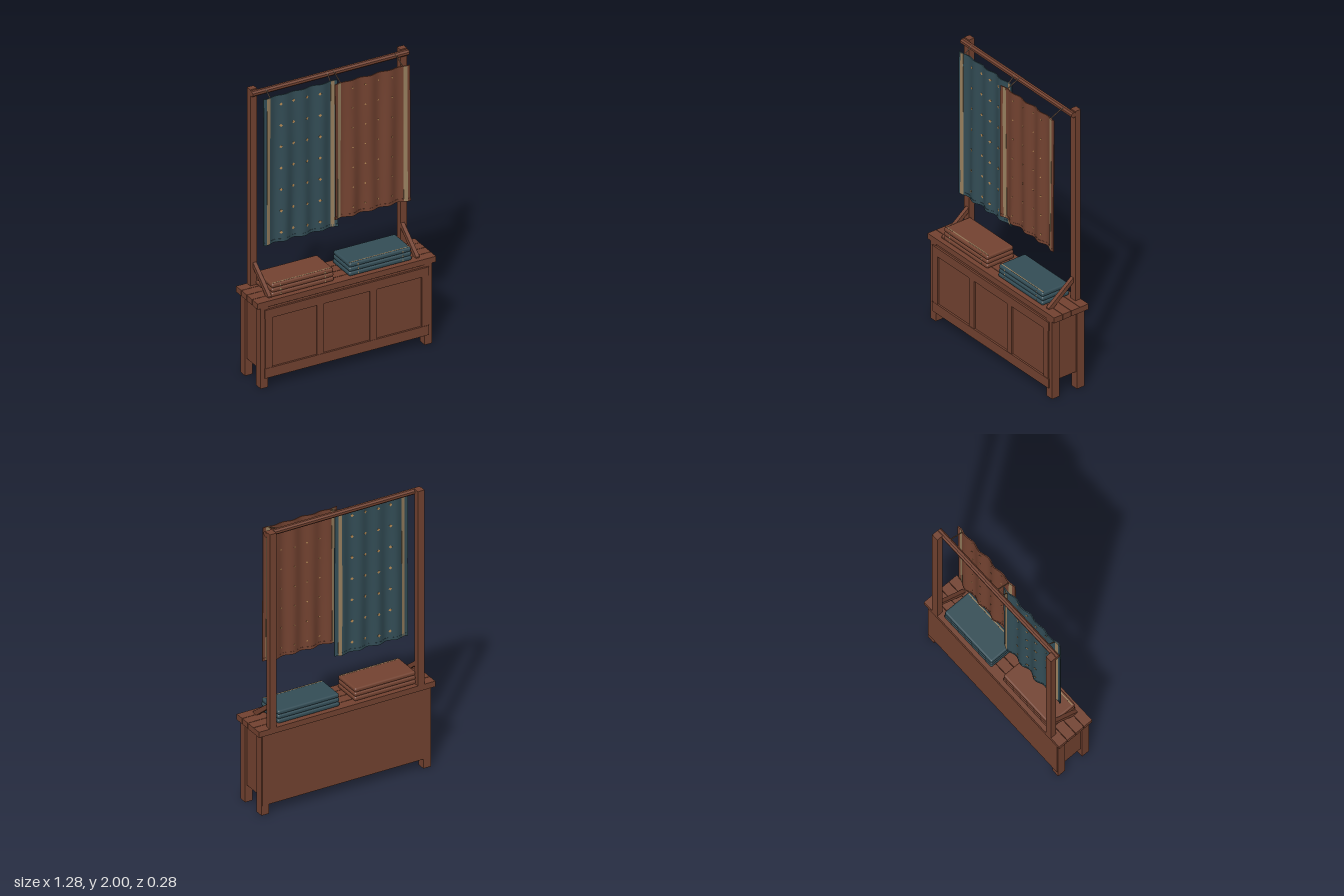
import * as THREE from 'three';
import { RoundedBoxGeometry } from 'three/addons/geometries/RoundedBoxGeometry.js';

const material = (name, color) => {
  const m = new THREE.MeshStandardMaterial({ color });
  m.name = name;
  return m;
};

export function createModel() {
  const wood = material('brown wood', 0x734230);
  const red = material('russet cloth', 0x744331);
  const blue = material('teal cloth', 0x334d56);
  const tan = material('tan trim', 0x98805f);
  const gold = material('gold motif', 0xb58a55);
  const cord = material('cord', 0x7d5a40);

  const model = new THREE.Group();
  model.name = 'textileStall';
  const group = (name) => {
    const g = new THREE.Group();
    g.name = name;
    model.add(g);
    return g;
  };
  const add = (parent, name, geometry, mat) => {
    const mesh = new THREE.Mesh(geometry, mat);
    mesh.name = name;
    parent.add(mesh);
    return mesh;
  };
  // Box given by its limits on each axis
  const box = (parent, name, x0, x1, y0, y1, z0, z1, mat = wood) => {
    const mesh = add(parent, name, new THREE.BoxGeometry(x1 - x0, y1 - y0, z1 - z0), mat);
    mesh.position.set((x0 + x1) / 2, (y0 + y1) / 2, (z0 + z1) / 2);
    return mesh;
  };

  // Counter: planked top, legs, panels
  const counter = group('counter');
  for (let i = 0; i < 4; i++) {
    const z = -0.138 + i * 0.069;
    box(counter, 'topPlank', -0.64, 0.64, 0.57, 0.61, z, z + 0.0655);
  }
  for (const s of [-1, 1]) {
    for (const [z0, z1] of [[-0.125, -0.067], [0.074, 0.131]]) {
      const x = s * 0.588;
      box(counter, 'leg', x - 0.027, x + 0.027, 0, 0.57, z0, z1);
    }
    const x = s * 0.592;
    box(counter, 'sidePanel', x - 0.01, x + 0.01, 0.12, 0.545, -0.07, 0.08);
  }
  box(counter, 'backPanel', -0.61, 0.61, 0.07, 0.57, -0.13, -0.118);
  box(counter, 'floorBoard', -0.565, 0.565, 0.105, 0.12, -0.118, 0.115);
  box(counter, 'frontPanel', -0.565, 0.565, 0.1, 0.565, 0.112, 0.127);

  // Raised frame on the front
  box(counter, 'frontRailTop', -0.588, 0.588, 0.49, 0.552, 0.115, 0.14);
  box(counter, 'frontRailBottom', -0.588, 0.588, 0.07, 0.138, 0.115, 0.14);
  for (const x of [-0.56, -0.19, 0.19, 0.56]) {
    box(counter, 'frontStile', x - 0.024, x + 0.024, 0.138, 0.49, 0.115, 0.138);
  }

  // Hanging frame: posts, crossbar, slanted braces
  const rack = group('hangingFrame');
  const braceShape = new THREE.Shape([
    [-0.095, 0.77], [-0.095, 0.735], [0.058, 0.61], [0.1, 0.61], [0.1, 0.618],
  ].map(([z, y]) => new THREE.Vector2(z, y)));
  for (const s of [-1, 1]) {
    const x = s * 0.538;
    box(rack, 'post', x - 0.024, x + 0.024, 0.61, 2, -0.138, -0.095);
    const g = new THREE.ExtrudeGeometry(braceShape, { depth: 0.026, bevelEnabled: false });
    g.translate(0, 0, -0.013).rotateY(-Math.PI / 2);
    add(rack, 'brace', g, wood).position.x = s * 0.53;
  }
  const barGeometry = new THREE.CylinderGeometry(0.02, 0.02, 1.124, 8).toNonIndexed();
  barGeometry.computeVertexNormals();
  barGeometry.rotateY(Math.PI / 8).rotateZ(Math.PI / 2);
  add(rack, 'crossbar', barGeometry, wood).position.set(0, 1.977, -0.082);

  // Draped cloths share one wave, so their trims follow the folds
  const hang = (name, mat, x0, x1, y0, zc, phase, columns, rows, motif) => {
    const y1 = 1.955;
    const cloth = group(name);
    const wave = (x, y) => {
      const t = (y1 - y) / (y1 - y0);
      const u = (x - x0) / (x1 - x0);
      return zc + (0.006 + 0.004 * t) * Math.sin(u * Math.PI * 8 + phase)
        + 0.002 * Math.sin(u * 17 + t * 4);
    };
    const sheet = (part, a, b, bottom, top, thick, m) => {
      const segments = Math.max(3, Math.round((b - a) * 90));
      const g = new THREE.BoxGeometry(b - a, top - bottom, thick, segments, 10, 1);
      g.translate((a + b) / 2, (bottom + top) / 2, 0);
      const p = g.attributes.position;
      for (let i = 0; i < p.count; i++) {
        p.setZ(i, p.getZ(i) + wave(p.getX(i), p.getY(i)));
      }
      g.computeVertexNormals();
      add(cloth, part, g, m);
    };
    sheet('drape', x0, x1, y0, y1, 0.007, mat);
    sheet('bottomHem', x0, x1, y0, y0 + 0.02, 0.0095, mat);
    for (const a of [x0 + 0.022, x1 - 0.046]) {
      sheet('stripe', a, a + 0.024, y0 + 0.003, y1 - 0.001, 0.0098, tan);
    }
    // Small woven diamonds, tilted to follow the folds
    for (const x of columns) {
      for (let r = 0; r < 7; r++) {
        const y = rows[0] - r * rows[1];
        const slope = (wave(x + 0.004, y) - wave(x - 0.004, y)) / 0.008;
        const spot = add(cloth, 'motif', new THREE.CylinderGeometry(motif, motif, 0.0094, 4).rotateX(Math.PI / 2), gold);
        spot.position.set(x, y, wave(x, y));
        spot.rotation.y = -Math.atan(slope);
      }
    }
    // Cords up to the crossbar
    for (const x of [x0 + 0.05, x1 - 0.045]) {
      const path = new THREE.LineCurve3(
        new THREE.Vector3(x, 1.992, -0.075), new THREE.Vector3(x, 1.945, wave(x, 1.945)));
      add(cloth, 'hangingCord', new THREE.TubeGeometry(path, 1, 0.004, 6), cord);
    }
  };
  hang('tealHanging', blue, -0.512, 0.02, 0.918, -0.02, 0.6,
    [-0.385, -0.293, -0.2, -0.108], [1.89, 0.151], 0.011);
  hang('russetHanging', red, -0.028, 0.511, 0.997, 0.029, 2.2,
    [0.098, 0.193, 0.288, 0.38], [1.9, 0.14], 0.006);

  // Folded cloth stacks on the counter
  const stack = (name, mat, x0, x1) => {
    const pile = group(name);
    const xc = (x0 + x1) / 2;
    for (let i = 0; i < 3; i++) {
      const inset = i * 0.003;
      const y = 0.625 + i * 0.03;
      const g = new RoundedBoxGeometry(x1 - x0 - inset, 0.03, 0.216 - inset, 3, 0.012);
      add(pile, 'foldedCloth', g, mat).position.set(xc, y, -0.002);
      for (const dx of [-0.16, 0.16]) {
        box(pile, 'edgeMark', xc + dx - 0.004, xc + dx + 0.004, y - 0.006, y + 0.006,
          0.1, 0.1068 - inset / 2, tan);
      }
    }
    box(pile, 'topStripe', x0 + 0.012, x1 - 0.012, 0.698, 0.7008, 0.083, 0.09, tan);
  };
  stack('russetStack', red, -0.52, -0.073);
  stack('tealStack', blue, 0.035, 0.485);

  return model;
}
